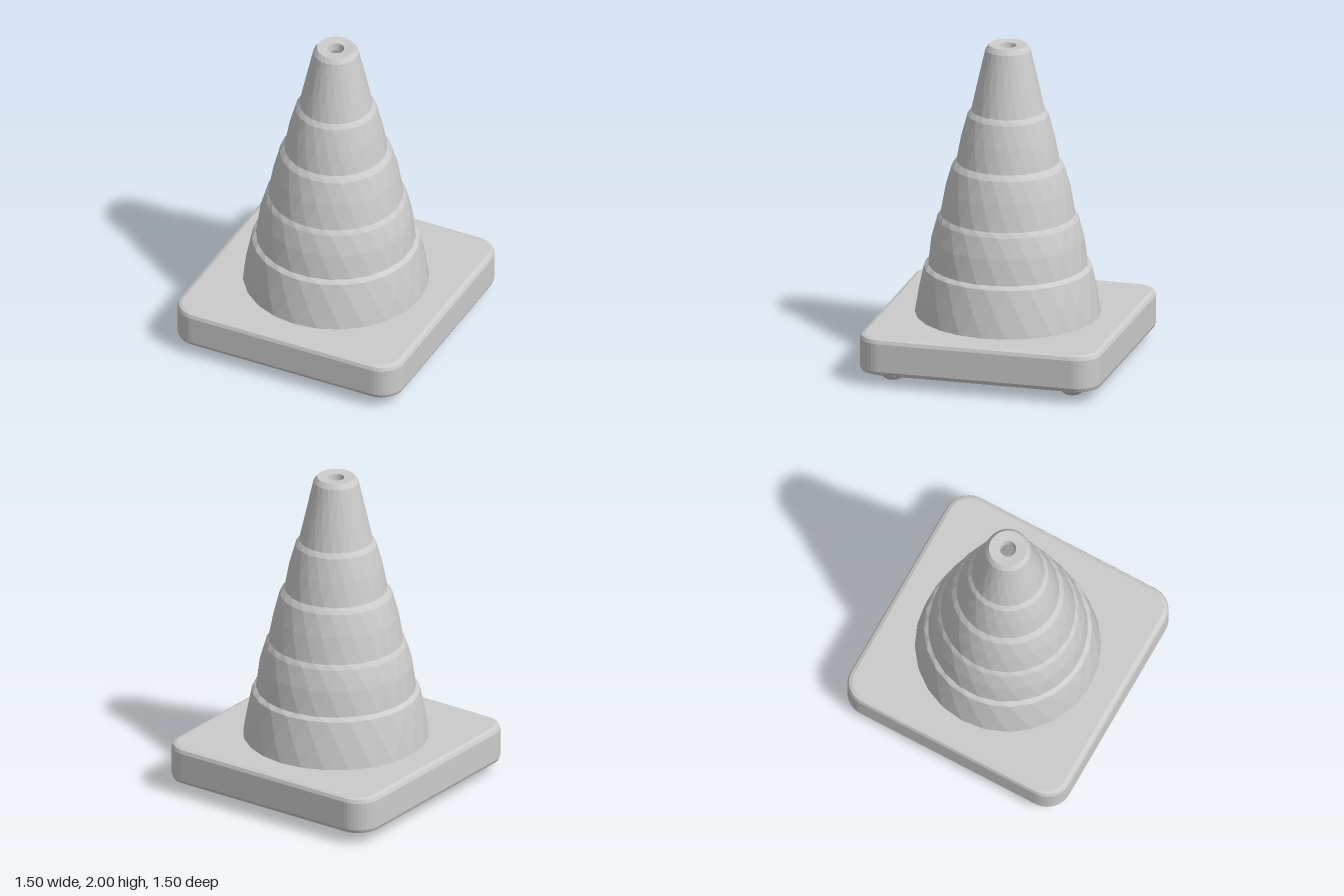
import * as THREE from 'three';

const material = new THREE.MeshStandardMaterial({ color: 0xcccccc, flatShading: true });

function addMesh(parent, name, geometry) {
  const mesh = new THREE.Mesh(geometry, material);
  mesh.name = name;
  parent.add(mesh);
  return mesh;
}

// Square outline with rounded corners
function roundedSquare(half, radius) {
  const shape = new THREE.Shape();
  const c = half - radius;
  [[c, c], [-c, c], [-c, -c], [c, -c]].forEach(([x, y], i) => {
    shape.absarc(x, y, radius, i * Math.PI / 2, (i + 1) * Math.PI / 2, false);
  });
  shape.closePath();
  return shape;
}

// Square plate with softened edges and a round opening that narrows upwards
function plateGeometry(bottom, height) {
  const bevel = 0.03;
  const outline = roundedSquare(0.752 - bevel, 0.12);
  const hole = new THREE.Path();
  hole.absarc(0, 0, 0.55, 0, Math.PI * 2, true);
  outline.holes.push(new THREE.Path(hole.getSpacedPoints(28)));
  const geometry = new THREE.ExtrudeGeometry(outline, {
    depth: height - 2 * bevel, bevelEnabled: true, bevelSize: bevel,
    bevelThickness: bevel, bevelSegments: 2, curveSegments: 5,
  });
  geometry.rotateX(-Math.PI / 2);
  geometry.translate(0, bottom + bevel, 0);
  const position = geometry.attributes.position;
  for (let i = 0; i < position.count; i++) {
    const x = position.getX(i), y = position.getY(i), z = position.getZ(i);
    const r = Math.hypot(x, z);
    if (r > 0.56) continue;
    const k = (0.565 - 0.1 * (y - bottom) / height) / r;
    position.setXYZ(i, x * k, y, z * k);
  }
  return geometry;
}

// Lathe whose rings are each turned half a step, giving triangular facets
function facetedLathe(points, sides) {
  const geometry = new THREE.LatheGeometry(points.map(([r, y]) => new THREE.Vector2(r, y)), sides);
  const position = geometry.attributes.position;
  const up = new THREE.Vector3(0, 1, 0);
  const v = new THREE.Vector3();
  for (let i = 0; i < position.count; i++) {
    const ring = i % points.length;
    v.fromBufferAttribute(position, i).applyAxisAngle(up, ring * Math.PI / sides);
    position.setXYZ(i, v.x, v.y, v.z);
  }
  return geometry;
}

export function createModel() {
  const group = new THREE.Group();
  group.name = 'trafficCone';

  addMesh(group, 'base', plateGeometry(0.075, 0.235));

  // Hollow stepped cone: up the outside, over the rim, down the inside
  addMesh(group, 'cone', facetedLathe([
    [0.565, 0.29], [0.54, 0.45], [0.508, 0.6], [0.483, 0.622],
    [0.462, 0.78], [0.428, 0.905], [0.408, 0.935],
    [0.378, 1.1], [0.34, 1.235], [0.312, 1.27],
    [0.283, 1.42], [0.245, 1.56], [0.222, 1.59],
    [0.178, 1.79], [0.137, 1.97], [0.115, 2], [0.05, 1.995],
    [0.045, 1.95], [0.105, 1.93], [0.19, 1.58], [0.215, 1.55],
    [0.28, 1.26], [0.31, 1.225], [0.375, 0.925], [0.398, 0.895],
    [0.45, 0.612], [0.475, 0.59], [0.525, 0.305],
  ], 24));

  // Four shallow rounded feet under the corners
  for (const x of [-1, 1]) {
    for (const z of [-1, 1]) {
      const foot = addMesh(group, 'foot', new THREE.SphereGeometry(1, 9, 6));
      foot.scale.set(0.098, 0.08, 0.098);
      foot.position.set(x * 0.562, 0.085, z * 0.562);
    }
  }
  return group;
}
